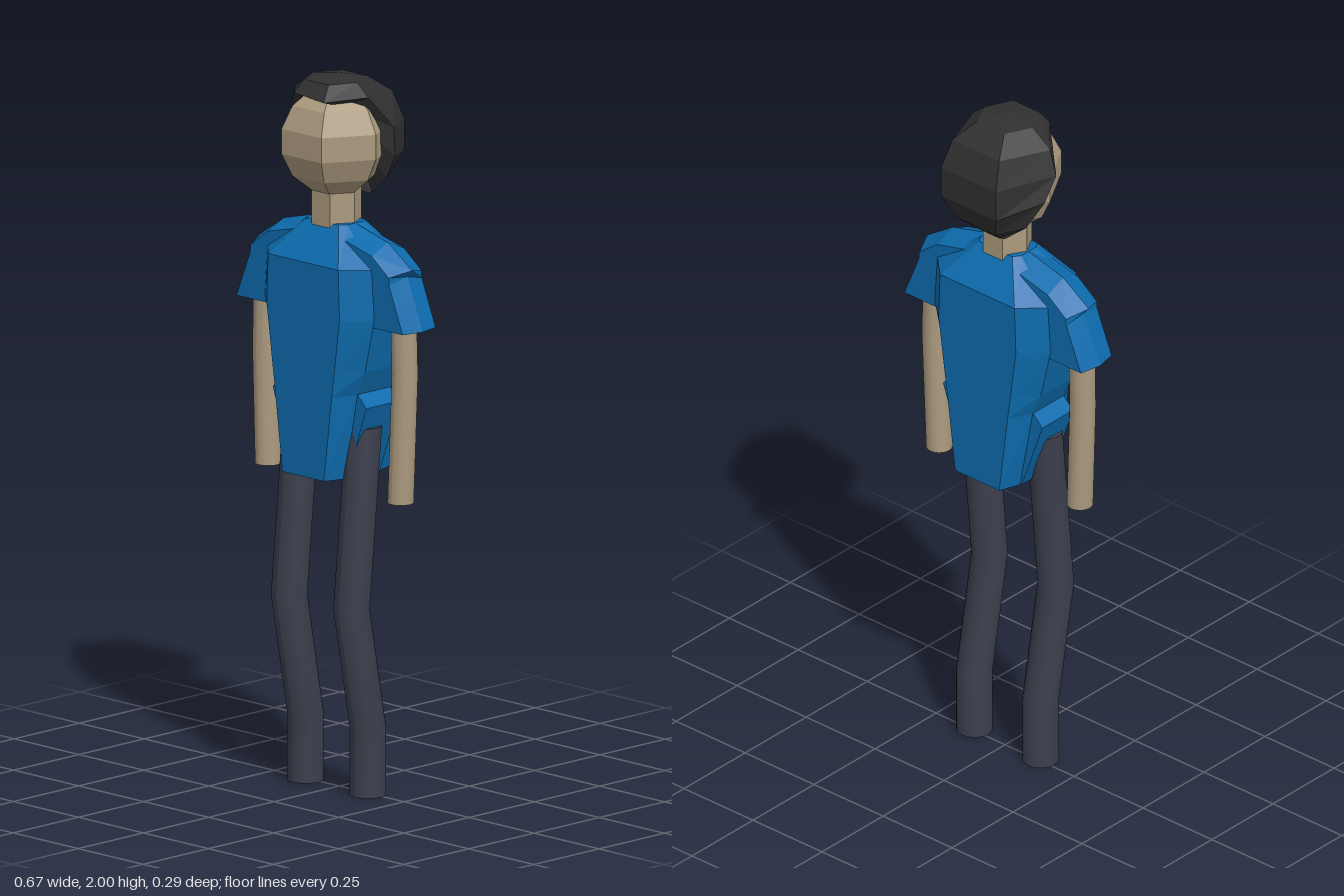
import * as THREE from 'three';

const CZ = 0.012; // depth of the body's middle plane
const mat = (color, flatShading = true) =>
  new THREE.MeshStandardMaterial({ color, flatShading, side: THREE.DoubleSide });
const skin = mat(0xab9a7e), skinSmooth = mat(0xab9a7e, false);
const shirt = mat(0x0d6cae), hairMat = mat(0x303030), cloth = mat(0x3c3f4d, false);

// Faceted skin over cross-sections with equal point counts
function loft(rings, capped = true) {
  const pos = [];
  const tri = (...pts) => pts.forEach((p) => pos.push(...p));
  const n = rings[0].length;
  for (let i = 0; i < rings.length - 1; i++) {
    for (let j = 0; j < n; j++) {
      const k = (j + 1) % n;
      tri(rings[i][j], rings[i][k], rings[i + 1][k]);
      tri(rings[i][j], rings[i + 1][k], rings[i + 1][j]);
    }
  }
  if (capped) {
    const a = rings[0], b = rings[rings.length - 1];
    for (let j = 1; j < n - 1; j++) {
      tri(a[0], a[j + 1], a[j]);
      tri(b[0], b[j], b[j + 1]);
    }
  }
  const g = new THREE.BufferGeometry();
  g.setAttribute('position', new THREE.Float32BufferAttribute(pos, 3));
  g.computeVertexNormals();
  return g;
}

// Round limb whose rows follow a path listed from top to bottom
function limb(path, radius) {
  const rows = path.length - 1;
  const g = new THREE.CylinderGeometry(radius, radius, 1, 20, rows);
  const p = g.attributes.position;
  for (let i = 0; i < p.count; i++) {
    const [x, y, z] = path[Math.round((0.5 - p.getY(i)) * rows)];
    p.setXYZ(i, p.getX(i) + x, y, p.getZ(i) + z);
  }
  g.computeVertexNormals();
  return g;
}

// Eight-sided torso section: front half-width, side half-width, depths of both
const section = (y, xf, xs, zf, zs) =>
  [[-xf, zf], [xf, zf], [xs, zs], [xs, -zs], [xf, -zf], [-xf, -zf], [-xs, -zs], [-xs, zs]]
    .map(([x, z]) => [x, y, z + CZ]);

const slice = (profile, z) => profile.map(([x, y]) => [x, y, z + CZ]);

export function createModel() {
  const model = new THREE.Group();
  const add = (name, geometry, material, parent = model) => {
    const mesh = new THREE.Mesh(geometry, material);
    mesh.name = name;
    parent.add(mesh);
    return mesh;
  };

  // Head and neck
  add('head', new THREE.SphereGeometry(0.157, 6, 7), skin).position.set(0, 1.815, CZ);
  add('neck', new THREE.CylinderGeometry(0.07, 0.07, 0.12, 6).rotateY(Math.PI / 2), skin)
    .position.set(0, 1.625, 0.01);

  // Hair: six columns running from the crown down; the front two tuck under as a fringe
  const tuck = (x) => Array(4).fill([x, 1.92, 0.05]);
  const back = [[0.05, 1.985, -0.06], [0.085, 1.94, -0.12], [0.1, 1.86, -0.15],
    [0.1, 1.77, -0.15], [0.07, 1.7, -0.12], [0.04, 1.655, -0.07]];
  const columns = [
    [[-0.045, 1.985, 0.09], [-0.06, 1.95, 0.115], ...tuck(-0.05)],
    [[0.05, 1.985, 0.09], [0.07, 1.945, 0.13], ...tuck(0.05)],
    [[0.085, 1.985, 0.015], [0.128, 1.95, 0.015], [0.155, 1.86, -0.055],
      [0.155, 1.78, -0.06], [0.12, 1.71, -0.062], [0.06, 1.66, -0.068]],
    back,
    back.map(([x, y, z]) => [-x, y, z]),
    [[-0.085, 1.985, 0.015], [-0.15, 1.94, 0.015], [-0.175, 1.87, 0.012],
      [-0.17, 1.8, -0.03], [-0.12, 1.71, -0.05], [-0.06, 1.66, -0.068]],
  ];
  const rows = [5, 4, 3, 2, 1, 0].map((r) => columns.map((c) => c[r]));
  rows.push(columns.map(() => [0, 2, 0.015]));
  add('hair', loft(rows, false), hairMat);

  // Shirt body
  add('shirtBody', loft([
    section(0.89, 0.08, 0.1, 0.126, 0.07),
    section(1.13, 0.11, 0.145, 0.126, 0.065),
    section(1.2, 0.12, 0.175, 0.126, 0.063),
    section(1.35, 0.14, 0.21, 0.126, 0.063),
    section(1.49, 0.135, 0.2, 0.126, 0.063),
    section(1.59, 0.06, 0.075, 0.05, 0.03),
  ]), shirt);

  // Sleeves and hip flaps, mirrored; the sleeve has a ridge along its middle
  const edge = [[0.15, 1.33], [0.32, 1.33], [0.267, 1.46], [0.266, 1.48], [0.2, 1.53], [0.1, 1.555]];
  const ridge = [[0.15, 1.33], [0.333, 1.33], [0.275, 1.475], [0.293, 1.495], [0.2, 1.557], [0.075, 1.59]];
  const flap = [[0.07, 0.89], [0.105, 0.89], [0.145, 1.0], [0.18, 1.1], [0.14, 1.14], [0.09, 1.1]];
  for (const [side, s] of [['left', 1], ['right', -1]]) {
    const half = new THREE.Group();
    half.name = side + 'ShirtSide';
    half.scale.x = s;
    model.add(half);
    add(side + 'Sleeve', loft([slice(edge, -0.063), slice(ridge, 0), slice(edge, 0.063)]), shirt, half);
    add(side + 'HipFlap', loft([slice(flap, -0.063), slice(flap, 0.063)]), shirt, half);

    // Leg with bent knee
    add(side + 'Leg', limb([[s * 0.12, 1.035, 0.025], [s * 0.12, 0.53, 0.072],
      [s * 0.12, 0.19, 0.01], [s * 0.12, 0, 0.01]], 0.05), cloth);
  }

  // Arms, the left one hanging slightly lower
  add('leftArm', limb([[0.262, 1.4, 0.015], [0.268, 1.2, 0.015], [0.252, 0.84, 0.015]], 0.036), skinSmooth);
  add('rightArm', limb([[-0.264, 1.4, 0.015], [-0.268, 1.18, 0.015], [-0.258, 0.862, 0.015]], 0.036), skinSmooth);

  return model;
}
